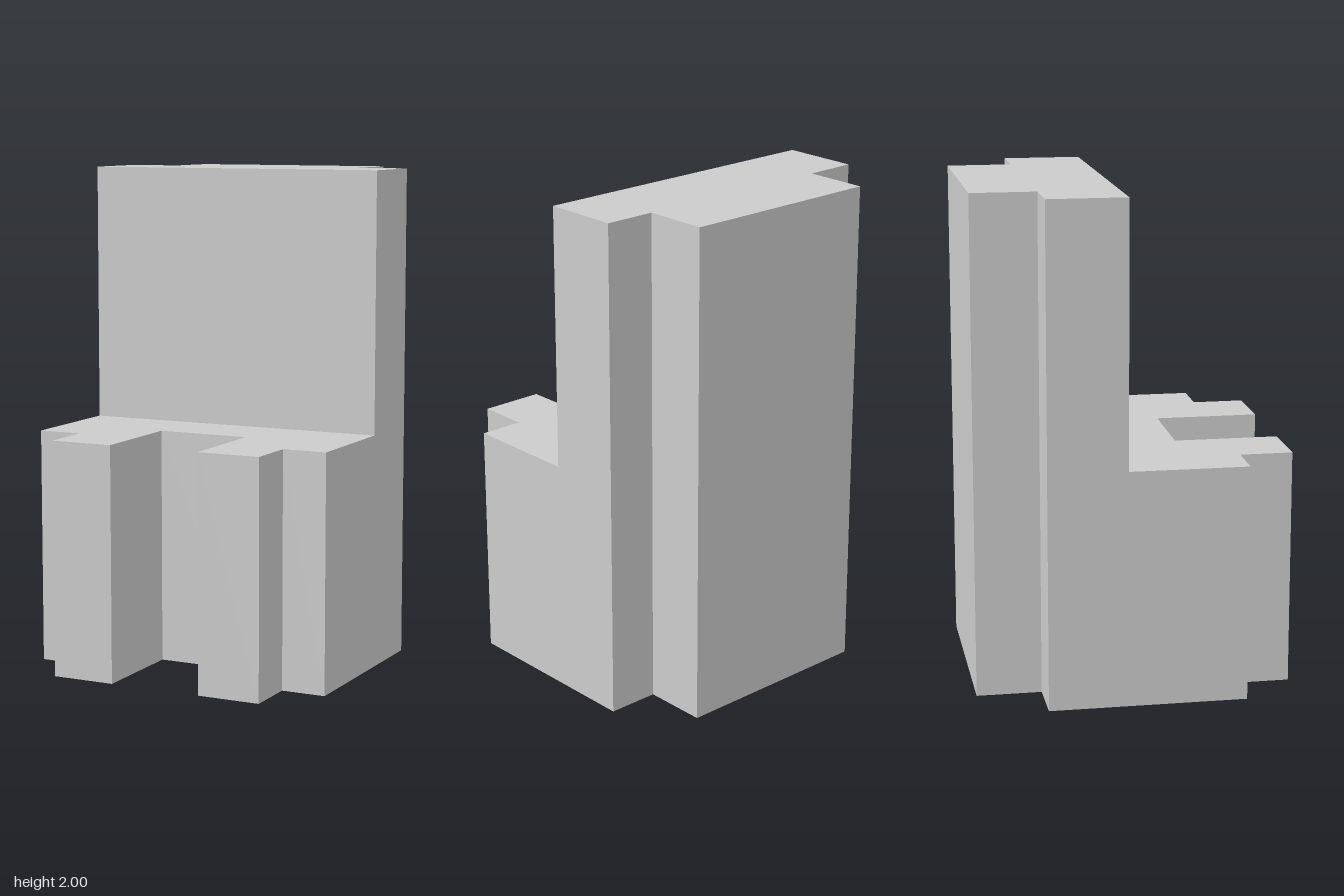
import * as THREE from 'three';

const material = new THREE.MeshStandardMaterial({ color: 0xcccccc, flatShading: true });

// Upright block from half a floor plan ([x, z] corners, back to front), mirrored across x = 0
function planBlock(name, half, height) {
  const mirrored = half.map(([x, z]) => [-x, z]).reverse();
  const outline = [...half, ...mirrored].map(([x, z]) => new THREE.Vector2(x, -z));
  const geometry = new THREE.ExtrudeGeometry(new THREE.Shape(outline), { depth: height, bevelEnabled: false });
  geometry.rotateX(-Math.PI / 2);
  const mesh = new THREE.Mesh(geometry, material);
  mesh.name = name;
  return mesh;
}

export function createModel() {
  const group = new THREE.Group();
  group.name = 'steppedChair';
  const split = -0.055; // front face of the backrest

  // Tall backrest with notched rear corners
  group.add(planBlock('backrest', [[0.42, -0.63], [0.42, -0.37], [0.63, -0.37], [0.63, split]], 2));

  // Low seat with notched front corners and a central recess between two legs
  group.add(planBlock('seat', [
    [0.63, split], [0.63, 0.42], [0.45, 0.42], [0.45, 0.63], [0.19, 0.63], [0.19, 0.21],
  ], 0.95));

  return group;
}
